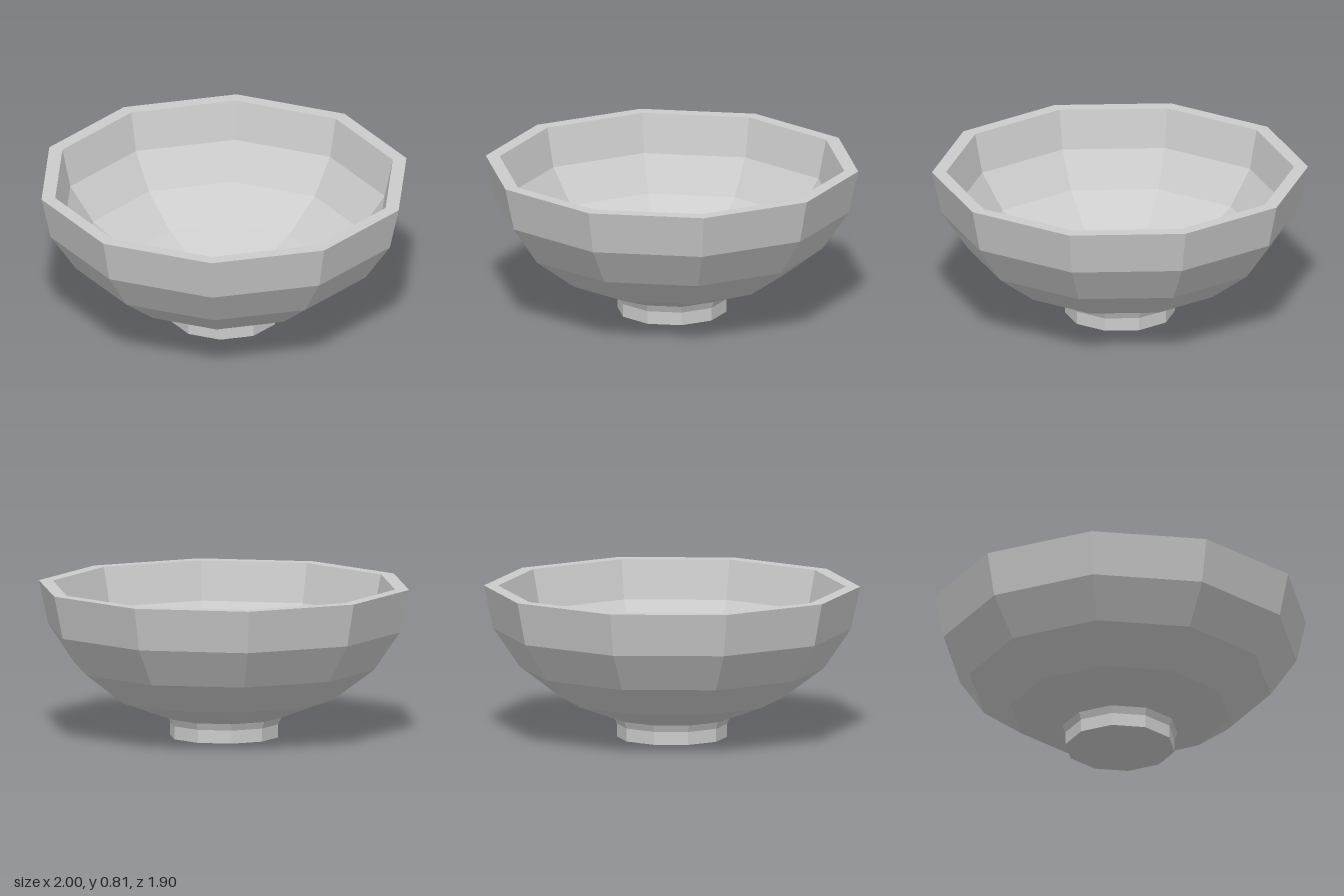
import * as THREE from 'three';

const SIDES = 10;

// Faceted ring of revolution with a corner on the x axis
function turned(name, profile, material) {
  const points = profile.map(([r, y]) => new THREE.Vector2(r, y));
  const mesh = new THREE.Mesh(new THREE.LatheGeometry(points, SIDES, Math.PI / SIDES), material);
  mesh.name = name;
  return mesh;
}

export function createModel() {
  const group = new THREE.Group();
  group.name = 'bowl';
  const material = new THREE.MeshStandardMaterial({ color: 0xcccccc, flatShading: true });

  // Foot: closed underside, short upright wall, slight flare into the bowl
  group.add(turned('foot', [[0, 0], [0.293, 0], [0.293, 0.07], [0.31, 0.107]], material));

  // Outer wall, rising from the foot to the lip
  group.add(turned('outerWall', [[0.31, 0.107], [0.59, 0.21], [0.81, 0.375], [0.95, 0.58], [1, 0.81]], material));

  // Flat lip
  group.add(turned('rim', [[1, 0.81], [0.925, 0.81]], material));

  // Inner wall, down to a shallow dished floor
  group.add(turned('innerWall', [[0.925, 0.81], [0.88, 0.6], [0.75, 0.415], [0.545, 0.27], [0.285, 0.175], [0, 0.155]], material));

  return group;
}
